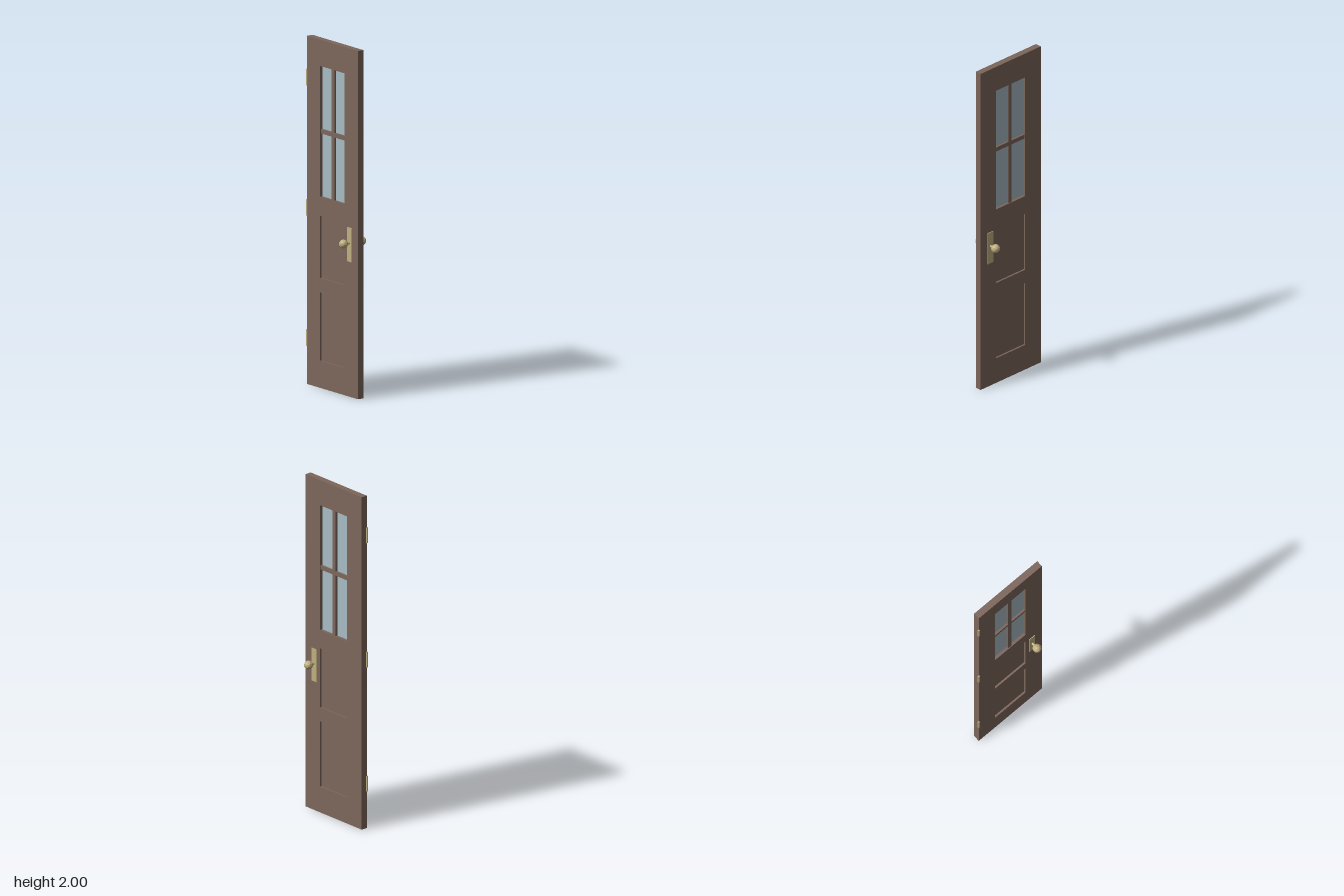
import * as THREE from 'three';

const material = (name, color) => {
  const m = new THREE.MeshStandardMaterial({ color });
  m.name = name;
  return m;
};

export function createModel() {
  const wood = material('brown wood', 0x7d665b);
  const glass = material('pale glass', 0xa8bcc4);
  const brass = material('brass', 0xc0b080);
  brass.flatShading = true;

  const group = new THREE.Group();
  const add = (name, geometry, mat, x, y, z) => {
    const mesh = new THREE.Mesh(geometry, mat);
    mesh.name = name;
    mesh.position.set(x, y, z);
    group.add(mesh);
    return mesh;
  };

  const cx = 0.003, halfW = 0.2355, depth = 0.039;
  const openHalf = 0.1135;
  const panels = [[0.156, 0.548], [0.632, 0.987]];
  const windowY = [1.098, 1.849];

  // Door slab with window and panel openings
  const rect = (P, hw, y0, y1) => {
    const p = new P();
    p.moveTo(-hw, y0).lineTo(hw, y0).lineTo(hw, y1).lineTo(-hw, y1).closePath();
    return p;
  };
  const outline = rect(THREE.Shape, halfW, 0, 2);
  for (const [a, b] of [...panels, windowY]) outline.holes.push(rect(THREE.Path, openHalf, a, b));
  const slab = new THREE.ExtrudeGeometry(outline, { depth, bevelEnabled: false });
  add('doorFrame', slab, wood, cx, 0, -depth / 2);

  // Recessed lower panels
  for (const [a, b] of panels) {
    add('recessedPanel', new THREE.BoxGeometry(openHalf * 2, b - a, 0.017), wood, cx, (a + b) / 2, 0);
  }

  // Window pane and glazing bars
  const winMid = (windowY[0] + windowY[1]) / 2, winH = windowY[1] - windowY[0];
  add('windowGlass', new THREE.BoxGeometry(openHalf * 2, winH, 0.006), glass, cx, winMid, 0);
  add('verticalBar', new THREE.BoxGeometry(0.025, winH, 0.03), wood, cx, winMid, 0);
  add('horizontalBar', new THREE.BoxGeometry(openHalf * 2, 0.025, 0.03), wood, cx, winMid, 0);

  // Handle plate, stem and faceted knob on both sides
  const knobX = 0.164, knobY = 0.884;
  for (const s of [1, -1]) {
    add('handlePlate', new THREE.BoxGeometry(0.042, 0.196, 0.004), brass, knobX, 0.874, s * (depth / 2 + 0.002));
    const stem = add('knobStem', new THREE.CylinderGeometry(0.007, 0.007, 0.03, 8), brass, knobX, knobY, s * 0.034);
    stem.rotation.x = Math.PI / 2;
    add('knob', new THREE.IcosahedronGeometry(0.026, 1), brass, knobX, knobY, s * 0.0635);
  }

  // Hinge barrels along the front edge
  for (const y of [0.267, 1.014, 1.763]) {
    add('hinge', new THREE.CylinderGeometry(0.006, 0.006, 0.094, 8), brass, cx - halfW, y, depth / 2);
  }
  return group;
}
